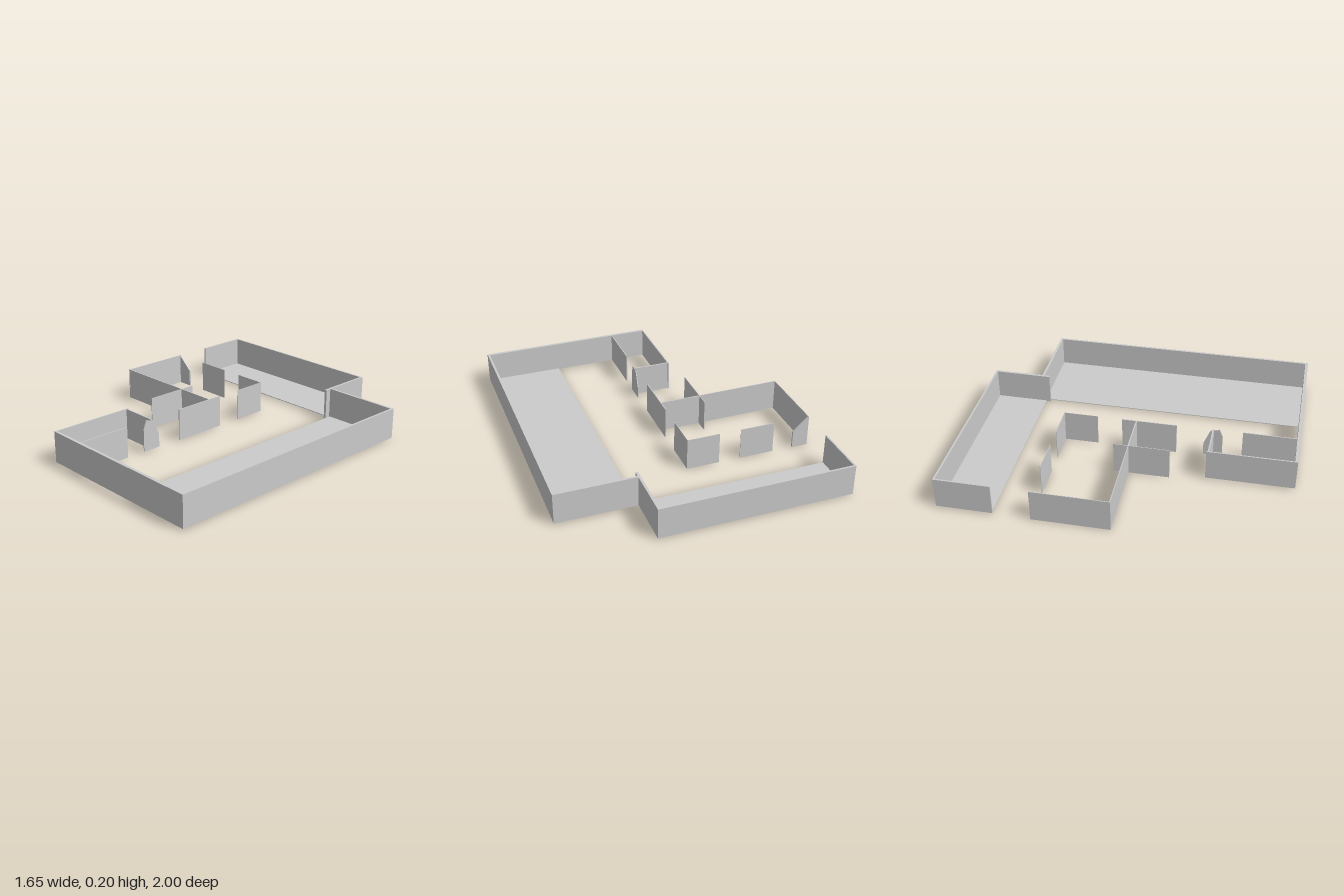
import * as THREE from 'three';

export function createModel() {
  const group = new THREE.Group();
  const material = new THREE.MeshStandardMaterial({ color: 0xcccccc, flatShading: true, side: THREE.DoubleSide });
  const TOP = 0.2;
  const BASE = 0.01;

  function box(name, x0, x1, z0, z1, y0 = BASE, y1 = TOP) {
    const mesh = new THREE.Mesh(new THREE.BoxGeometry(x1 - x0, y1 - y0, z1 - z0), material);
    mesh.position.set((x0 + x1) / 2, (y0 + y1) / 2, (z0 + z1) / 2);
    mesh.name = name;
    group.add(mesh);
    return mesh;
  }

  // A thin wall with a shaped outline, drawn in (length, height)
  function shapedWall(name, points, depth) {
    const shape = new THREE.Shape(points.map(([a, b]) => new THREE.Vector2(a, b)));
    const mesh = new THREE.Mesh(new THREE.ExtrudeGeometry(shape, { depth, bevelEnabled: false }), material);
    mesh.name = name;
    group.add(mesh);
    return mesh;
  }

  // Floors of the two wings
  box('backFloor', -0.828, 0.33, -0.99, -0.668, BASE, 0.014);
  box('sideFloor', 0.346, 0.815, -0.68, 0.985, BASE, 0.014);

  // Thick outer walls: x0, x1, z0, z1
  const outer = {
    backWall: [-0.83, 0.34, -1, -0.988],
    backWingEndWall: [-0.83, -0.82, -0.988, -0.665],
    backWingInnerWall: [0.325, 0.34, -0.988, -0.64],
    sideWingBackWall: [0.34, 0.825, -0.69, -0.675],
    sideWall: [0.811, 0.825, -0.675, 0.982],
    frontWall: [-0.275, 0.825, 0.982, 1],
  };
  for (const [name, r] of Object.entries(outer)) box(name, ...r);

  // Small front room
  box('frontRoomSideWall', -0.276, -0.268, 0.47, 0.982);
  box('frontRoomBackWall', -0.268, -0.043, 0.477, 0.486);
  box('frontRoomPartition', -0.048, -0.042, 0.66, 0.982);

  // Broken doorway stub with a ragged top, turned to run along z
  const stub = shapedWall('frontRoomDoorStub', [
    [-0.54, BASE], [-0.425, BASE], [-0.425, 0.09], [-0.465, 0.185], [-0.52, TOP], [-0.54, 0.15],
  ], 0.005);
  stub.rotation.y = Math.PI / 2;
  stub.position.x = -0.046;

  // Thin inner walls, reaching slightly lower than the outer ones
  const inner = {
    roomSideWall: [-0.83, -0.825, -0.44, 0.02],
    roomBackPanel: [-0.6, -0.385, -0.441, -0.438],
    roomBackCorner: [-0.25, -0.046, -0.441, -0.438],
    roomCornerReturn: [-0.049, -0.046, -0.441, -0.23],
    hallWall: [-0.305, -0.048, 0.008, 0.015],
    crossWall: [-0.307, -0.303, -0.077, 0.26],
    hallEndWall: [-0.052, -0.046, -0.077, 0.26],
  };
  for (const [name, r] of Object.entries(inner)) box(name, ...r, 0.002, TOP);

  // Slightly skewed wall of the inner room
  const skew = box('roomFrontWall', -0.829, -0.304, 0.012, 0.017, 0.002, TOP);
  skew.rotation.y = 0.009;

  // Broken wall end with a sloping top
  shapedWall('slopedWallEnd', [[-0.83, 0.002], [-0.73, 0.002], [-0.73, 0.11], [-0.83, TOP]], 0.01).position.z = -0.443;

  return group;
}
